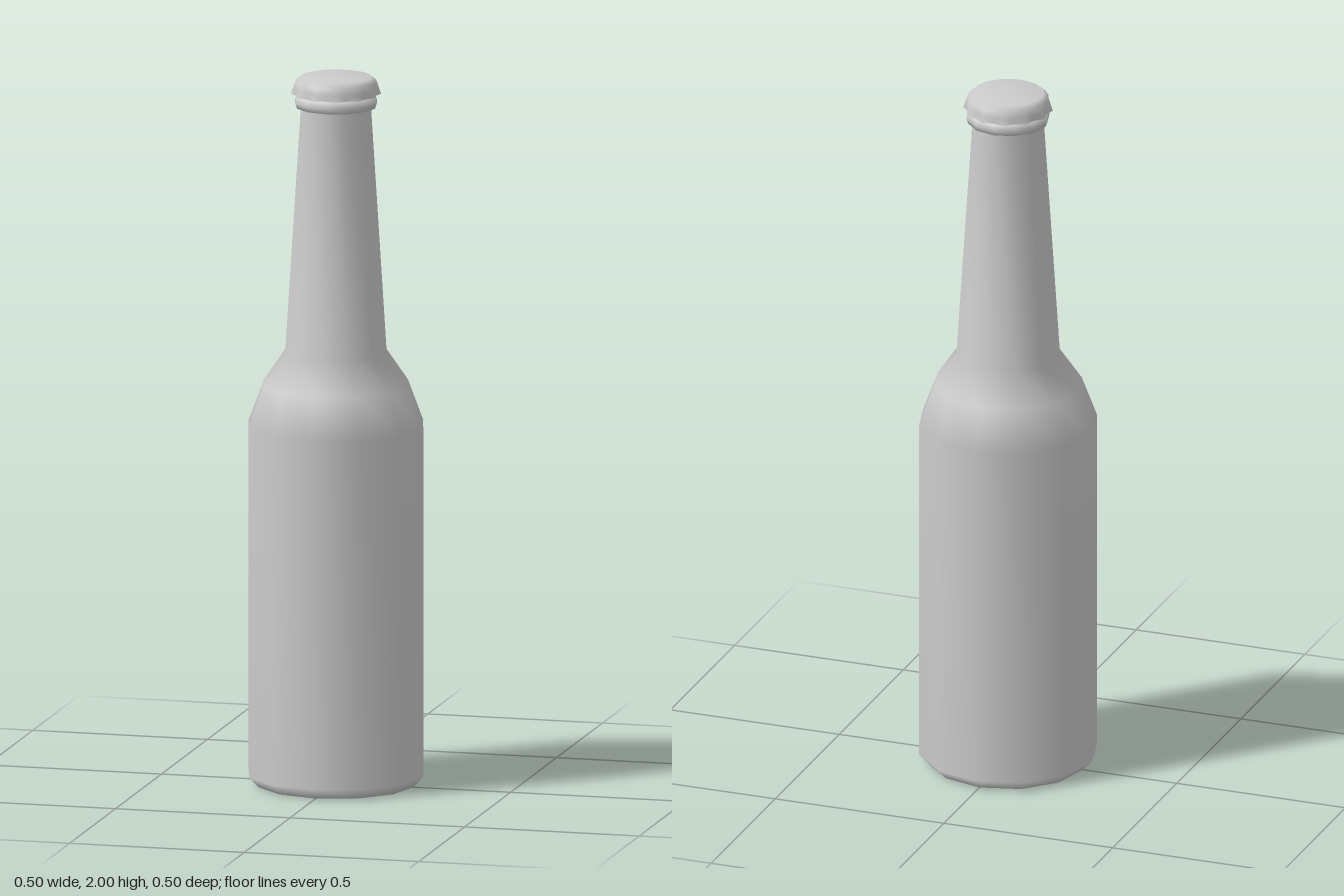
import * as THREE from 'three';
import { mergeVertices } from 'three/addons/utils/BufferGeometryUtils.js';

const material = new THREE.MeshStandardMaterial({ color: 0xcccccc, side: THREE.DoubleSide });

// Turned part with smooth normals; reshape(radius, y, angle) may return a new radius
function turned(name, profile, sides, reshape) {
  let geometry = new THREE.LatheGeometry(profile.map(([r, y]) => new THREE.Vector2(r, y)), sides);
  if (reshape) {
    const p = geometry.attributes.position;
    for (let i = 0; i < p.count; i++) {
      const x = p.getX(i), z = p.getZ(i);
      const angle = Math.atan2(x, z);
      const r = reshape(Math.hypot(x, z), p.getY(i), angle);
      p.setX(i, r * Math.sin(angle));
      p.setZ(i, r * Math.cos(angle));
    }
  }
  geometry.deleteAttribute('uv');
  geometry.deleteAttribute('normal');
  geometry = mergeVertices(geometry, 1e-5);
  geometry.computeVertexNormals();
  const mesh = new THREE.Mesh(geometry, material);
  mesh.name = name;
  return mesh;
}

export function createModel() {
  const bottle = new THREE.Group();
  bottle.name = 'bottle';

  // Body, shoulder and neck, twelve-sided
  bottle.add(turned('glassBody', [
    [0, 0], [0.222, 0], [0.25, 0.03], [0.25, 1.015], [0.207, 1.13],
    [0.145, 1.22], [0.1, 1.915], [0.1, 1.975], [0, 1.975],
  ], 12));

  // Bead around the mouth
  bottle.add(turned('lipRing', [
    [0.097, 1.91], [0.112, 1.912], [0.117, 1.927], [0.112, 1.942], [0.097, 1.946],
  ], 12));

  // Crimped cap: the skirt is fluted, the flutes fade out towards the crown
  bottle.add(turned('cap', [
    [0.119, 1.948], [0.116, 1.965], [0.113, 1.984], [0.099, 1.997], [0, 2],
  ], 24, (r, y, angle) => {
    const fade = THREE.MathUtils.clamp((1.985 - y) / 0.037, 0, 1);
    return r - 0.006 * fade * Math.cos(angle * 12);
  }));

  return bottle;
}
